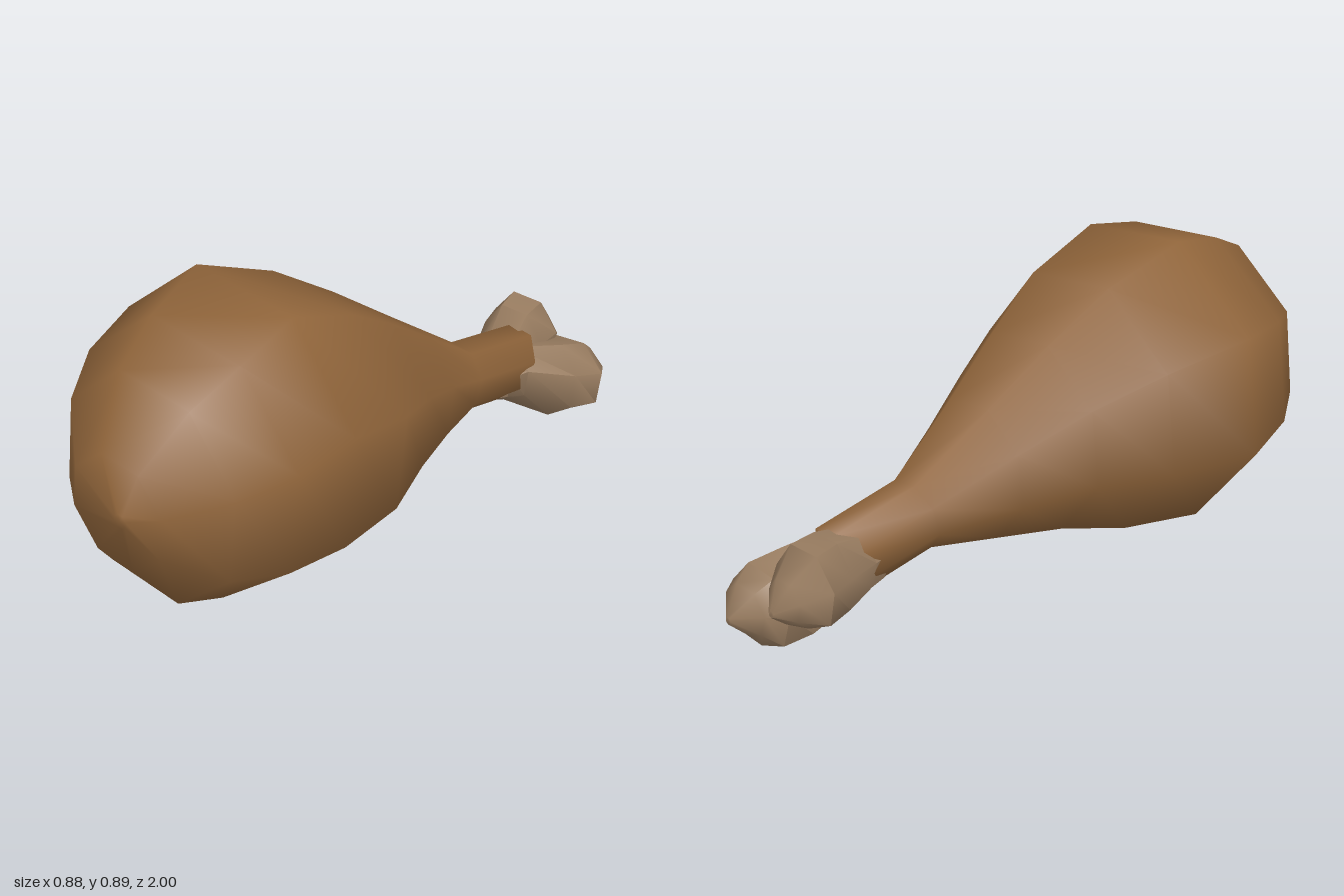
import * as THREE from 'three';
import { toCreasedNormals } from 'three/addons/utils/BufferGeometryUtils.js';

// Skin a row of rings running from front (+z) to back, closed at both ends.
// Ring: [z, left, right, bottom, top, tilt]; the tilt leans the top of the ring backwards.
function loft(rings, sides, phase) {
  const pos = [], index = [];
  const reach = Math.cos(phase);
  for (const [z, left, right, bottom, top, tilt = 0] of rings) {
    const cx = (left + right) / 2, cy = (bottom + top) / 2;
    for (let i = 0; i < sides; i++) {
      const a = phase + (i / sides) * Math.PI * 2;
      const u = Math.cos(a) / reach, v = Math.sin(a) / reach;
      pos.push(cx + (u * (right - left)) / 2, cy + (v * (top - bottom)) / 2, z - tilt * v);
    }
  }
  for (let j = 0; j < rings.length - 1; j++) {
    for (let i = 0; i < sides; i++) {
      const k = (i + 1) % sides;
      const a = j * sides + i, b = j * sides + k, c = b + sides, d = a + sides;
      index.push(a, d, b, b, d, c);
    }
  }
  // End caps, each with its own centre point
  const cap = (ring, flip) => {
    const [z, left, right, bottom, top] = rings[ring];
    const centre = pos.length / 3;
    pos.push((left + right) / 2, (bottom + top) / 2, z);
    for (let i = 0; i < sides; i++) {
      const a = ring * sides + i, b = ring * sides + ((i + 1) % sides);
      if (flip) index.push(centre, b, a);
      else index.push(centre, a, b);
    }
  };
  cap(0, false);
  cap(rings.length - 1, true);
  const geometry = new THREE.BufferGeometry();
  geometry.setAttribute('position', new THREE.Float32BufferAttribute(pos, 3));
  geometry.setIndex(index);
  geometry.computeVertexNormals();
  return geometry;
}

export function createModel() {
  const group = new THREE.Group();
  group.name = 'drumstick';

  const skin = new THREE.MeshStandardMaterial({ color: 0x8f643a });
  skin.name = 'roasted skin';
  const bone = new THREE.MeshStandardMaterial({ color: 0x987c60 });
  bone.name = 'bone';

  const add = (name, geometry, material) => {
    const mesh = new THREE.Mesh(geometry, material);
    mesh.name = name;
    group.add(mesh);
  };

  // Plump meat narrowing to the shank; its slanted end wraps over the bone
  const meat = [
    [1.0, 0.13, 0.17, 0.44, 0.48],
    [0.95, -0.08, 0.25, 0.28, 0.59],
    [0.81, -0.26, 0.37, 0.115, 0.745],
    [0.65, -0.37, 0.437, 0.055, 0.825],
    [0.44, -0.44, 0.44, 0.005, 0.88],
    [0.2, -0.345, 0.405, 0.03, 0.79],
    [0.0, -0.24, 0.32, 0.09, 0.665],
    [-0.2, -0.145, 0.24, 0.125, 0.525],
    [-0.42, -0.04, 0.165, 0.157, 0.36, 0.02],
    [-0.66, -0.035, 0.168, 0.125, 0.312, 0.065],
  ];
  add('meat', loft(meat, 8, THREE.MathUtils.degToRad(16)), skin);

  // Two knuckles forking from the shank: one low, one high
  const lowKnuckle = [
    [-0.58, -0.02, 0.155, 0.125, 0.28],
    [-0.64, -0.025, 0.173, 0.105, 0.295],
    [-0.8, 0.02, 0.235, 0.005, 0.26],
    [-0.89, 0.03, 0.268, 0.0, 0.24],
    [-0.94, 0.07, 0.235, 0.055, 0.2],
    [-1.0, 0.14, 0.16, 0.11, 0.13],
  ];
  const highKnuckle = [
    [-0.58, -0.02, 0.15, 0.13, 0.28],
    [-0.64, -0.04, 0.15, 0.12, 0.295],
    [-0.77, -0.1, 0.12, 0.11, 0.345],
    [-0.86, -0.13, 0.11, 0.11, 0.35],
    [-0.92, -0.06, 0.07, 0.14, 0.27],
    [-0.97, -0.01, 0.01, 0.18, 0.2],
  ];
  const crease = THREE.MathUtils.degToRad(50);
  add('lowKnuckle', toCreasedNormals(loft(lowKnuckle, 7, 0.3), crease), bone);
  add('highKnuckle', toCreasedNormals(loft(highKnuckle, 7, 0.2), crease), bone);

  return group;
}
